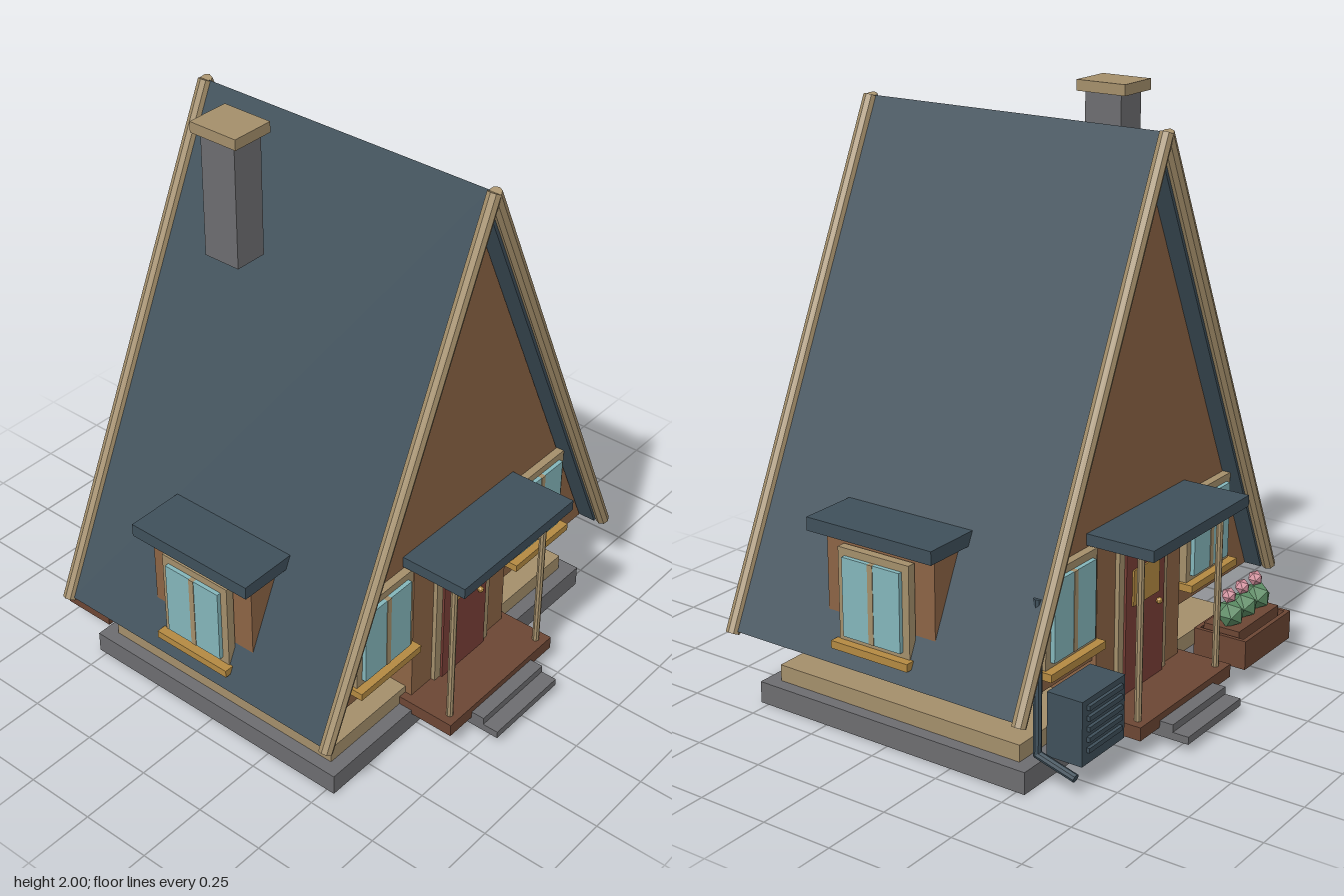
import * as THREE from 'three';

const mat = (name, color, side = THREE.FrontSide) => {
  const m = new THREE.MeshStandardMaterial({ color, flatShading: true, side });
  m.name = name;
  return m;
};

export function createModel() {
  const wall = mat('wallBrown', 0x8c6445);
  const trim = mat('trimTan', 0xa48f6b);
  const slate = mat('roofSlate', 0x3f505b);
  const stone = mat('stoneGrey', 0x6d6d70);
  const red = mat('doorRed', 0x7a3f37);
  const glass = mat('windowGlass', 0x84b6bb);
  const gold = mat('ochre', 0xb48a42);
  const wood = mat('darkWood', 0x6c4634);
  const green = mat('leafGreen', 0x5c8c64);
  const pink = mat('flowerPink', 0xd5929f);

  const root = new THREE.Group();
  root.name = 'cabin';

  const add = (parent, name, geo, m) => {
    const mesh = new THREE.Mesh(geo, m);
    mesh.name = name;
    parent.add(mesh);
    return mesh;
  };
  // Box given by its minimum and maximum on each axis
  const box = (parent, name, m, x0, x1, y0, y1, z0, z1) => {
    const b = add(parent, name, new THREE.BoxGeometry(x1 - x0, y1 - y0, z1 - z0), m);
    b.position.set((x0 + x1) / 2, (y0 + y1) / 2, (z0 + z1) / 2);
    return b;
  };
  // Round bar between two points
  const rod = (parent, name, m, a, b, r, sides = 8) => {
    const p = new THREE.Vector3(...a), q = new THREE.Vector3(...b);
    const d = q.clone().sub(p);
    const c = add(parent, name, new THREE.CylinderGeometry(r, r, d.length(), sides), m);
    c.position.copy(p).add(q).multiplyScalar(0.5);
    c.quaternion.setFromUnitVectors(new THREE.Vector3(0, 1, 0), d.normalize());
    return c;
  };
  // Outline extruded along z, centred on z = 0
  const prism = (parent, name, m, pts, depth) => {
    const shape = new THREE.Shape(pts.map(([x, y]) => new THREE.Vector2(x, y)));
    const geo = new THREE.ExtrudeGeometry(shape, { depth, bevelEnabled: false });
    geo.translate(0, 0, -depth / 2);
    return add(parent, name, geo, m);
  };

  // Double window facing +z, its back at z = 0
  const makeWindow = (parent, x, z) => {
    const g = new THREE.Group();
    g.name = 'window';
    g.position.set(x, 0, z);
    parent.add(g);
    for (const s of [-1, 1]) {
      box(g, 'frameSide', trim, s * 0.125 - 0.013, s * 0.125 + 0.013, 0.345, 0.665, 0, 0.03);
      box(g, 'pane', glass, s * 0.061 - 0.051, s * 0.061 + 0.051, 0.375, 0.64, 0, 0.045);
    }
    box(g, 'frameTop', trim, -0.112, 0.112, 0.64, 0.665, 0, 0.03);
    box(g, 'frameBottom', trim, -0.112, 0.112, 0.345, 0.375, 0, 0.03);
    box(g, 'mullion', trim, -0.01, 0.01, 0.375, 0.64, 0, 0.047);
    box(g, 'sill', gold, -0.15, 0.15, 0.33, 0.356, 0, 0.06);
  };

  // Base and body
  box(root, 'foundation', stone, -0.675, 0.675, 0, 0.075, -0.53, 0.53);
  box(root, 'deck', trim, -0.63, 0.63, 0.075, 0.132, -0.48, 0.48);
  box(root, 'lowerWall', wall, -0.25, 0.25, 0.132, 0.28, -0.475, 0.475);
  prism(root, 'gableBody', wall, [[-0.725, 0.27], [0.725, 0.27], [0, 1.84]], 0.98);

  // Steep roof with log trim on the gable edges
  prism(root, 'roof', slate, [
    [0, 1.915], [-0.757, 0.28], [-0.73, 0.267], [0, 1.845], [0.73, 0.267], [0.757, 0.28],
  ], 1.1);
  for (const z of [-0.567, 0.567]) {
    for (const s of [-1, 1]) {
      rod(root, 'gableTrim', trim, [0, 1.912, z], [s * 0.757, 0.27, z], 0.0235);
    }
  }

  // Chimney
  box(root, 'chimneyShaft', stone, -0.345, -0.228, 1.545, 1.966, -0.26, -0.125);
  box(root, 'chimneyCap', trim, -0.363, -0.21, 1.964, 2, -0.285, -0.103);

  // Matching front and back entrances
  for (const turn of [0, Math.PI]) {
    const f = new THREE.Group();
    f.name = turn ? 'backEntrance' : 'frontEntrance';
    f.rotation.y = turn;
    root.add(f);
    box(f, 'entryWall', wall, -0.25, 0.25, 0.08, 0.66, 0.47, 0.505);
    box(f, 'doorFrame', trim, -0.145, 0.145, 0.1, 0.66, 0.5, 0.52);
    box(f, 'door', red, -0.115, 0.115, 0.1, 0.62, 0.515, 0.528);
    box(f, 'doorWindow', gold, -0.08, 0.075, 0.402, 0.525, 0.526, 0.534);
    const knob = add(f, 'doorKnob', new THREE.SphereGeometry(0.011, 8, 6), gold);
    knob.position.set(0.072, 0.37, 0.537);
    box(f, 'porchFloor', wood, -0.28, 0.28, 0.06, 0.106, 0.48, 0.692);
    box(f, 'upperStep', stone, -0.165, 0.165, 0.056, 0.083, 0.6, 0.74);
    box(f, 'lowerStep', stone, -0.165, 0.165, 0.031, 0.057, 0.65, 0.797);
    box(f, 'porchRoof', slate, -0.29, 0.29, 0.672, 0.71, 0.48, 0.732);
    for (const s of [-1, 1]) {
      rod(f, 'porchPost', trim, [s * 0.24, 0.1, 0.657], [s * 0.24, 0.675, 0.657], 0.012);
      makeWindow(f, s * 0.41, 0.488);
    }
  }

  // Dormers on both slopes
  for (const s of [-1, 1]) {
    const d = new THREE.Group();
    d.name = 'dormer';
    d.rotation.y = s * Math.PI / 2;
    root.add(d);
    box(d, 'dormerBody', wall, -0.21, 0.21, 0.41, 0.705, 0.45, 0.69);
    box(d, 'dormerRoof', slate, -0.242, 0.242, 0.7, 0.745, 0.5, 0.748);
    makeWindow(d, 0, 0.695);
  }

  // Flower planter behind the house
  const planter = new THREE.Group();
  planter.name = 'planter';
  root.add(planter);
  box(planter, 'planterBase', wood, -0.612, -0.328, 0.076, 0.155, -0.715, -0.54);
  for (const z of [-0.719, -0.538]) {
    box(planter, 'planterLong', wood, -0.625, -0.315, 0.08, 0.182, z - 0.008, z + 0.008);
  }
  for (const x of [-0.618, -0.322]) {
    box(planter, 'planterEnd', wood, x - 0.007, x + 0.007, 0.08, 0.182, -0.725, -0.53);
  }
  box(planter, 'soil', wood, -0.605, -0.335, 0.15, 0.2, -0.69, -0.555);
  for (const x of [-0.56, -0.47, -0.38]) {
    const leaf = add(planter, 'leaves', new THREE.IcosahedronGeometry(0.05, 0), green);
    leaf.position.set(x, 0.238, -0.63);
    const bloom = add(planter, 'flower', new THREE.IcosahedronGeometry(0.027, 0), pink);
    bloom.position.set(x, 0.3, -0.622);
  }

  // Outdoor cooling unit with slats
  const unit = new THREE.Group();
  unit.name = 'coolingUnit';
  root.add(unit);
  box(unit, 'unitBody', slate, 0.345, 0.58, 0.095, 0.31, -0.673, -0.545);
  for (let i = 0; i < 5; i++) {
    const y = 0.135 + i * 0.035;
    box(unit, 'unitSlat', slate, 0.37, 0.555, y, y + 0.016, -0.684, -0.67);
  }

  // Drain pipe with a kicked-out foot
  rod(root, 'drainPipe', slate, [0.6, 0.615, -0.525], [0.6, 0.1, -0.525], 0.014);
  rod(root, 'drainFoot', slate, [0.6, 0.105, -0.52], [0.6, 0.065, -0.665], 0.014);

  return root;
}
